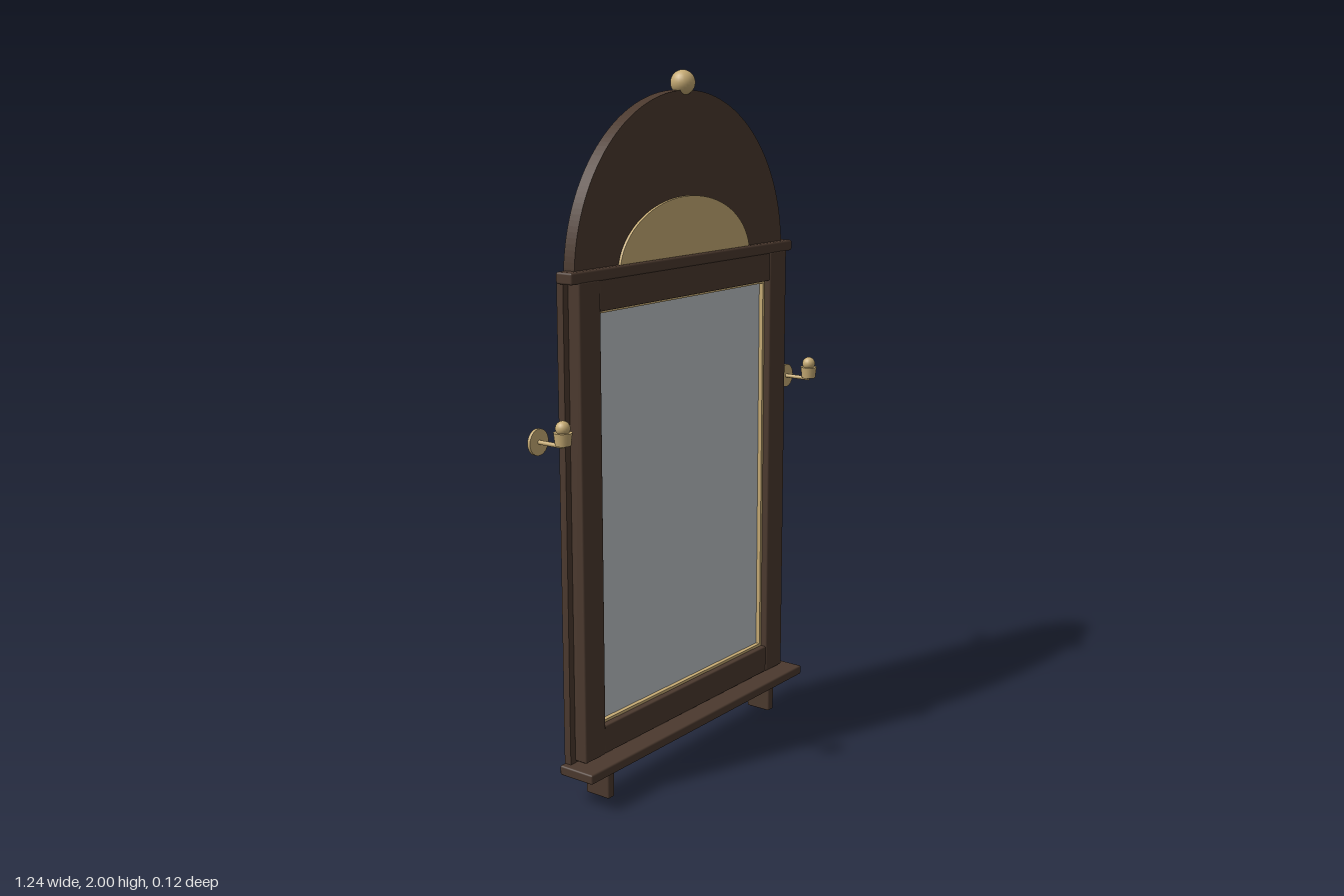
import * as THREE from 'three';
import { RoundedBoxGeometry } from 'three/addons/geometries/RoundedBoxGeometry.js';

const material = (name, color) => {
  const m = new THREE.MeshStandardMaterial({ color });
  m.name = name;
  return m;
};

export function createModel() {
  const wood = material('dark wood', 0x4b392e);
  const brass = material('brass', 0xc6ab74);
  const glass = material('mirror glass', 0xbdc3c6);
  const root = new THREE.Group();
  root.name = 'wallMirror';

  const add = (name, geometry, mat, x = 0, y = 0, z = 0, parent = root) => {
    const mesh = new THREE.Mesh(geometry, mat);
    mesh.name = name;
    mesh.position.set(x, y, z);
    parent.add(mesh);
    return mesh;
  };

  // Box given by its limits on each axis, optionally with softened edges
  const slab = (name, mat, [x0, x1], [y0, y1], [z0, z1], radius = 0) => {
    const size = [x1 - x0, y1 - y0, z1 - z0];
    const geometry = radius
      ? new RoundedBoxGeometry(...size, 2, radius)
      : new THREE.BoxGeometry(...size);
    return add(name, geometry, mat, (x0 + x1) / 2, (y0 + y1) / 2, (z0 + z1) / 2);
  };

  // Upper half of an ellipse, extruded towards +z
  const halfDisc = (rx, ry, depth) => {
    const shape = new THREE.Shape();
    shape.absellipse(0, 0, rx, ry, 0, Math.PI, false);
    shape.closePath();
    return new THREE.ExtrudeGeometry(shape, { depth, bevelEnabled: false, curveSegments: 48 });
  };

  // Back board, shelf and cornice
  slab('backBoard', wood, [-0.502, 0.502], [0.115, 1.482], [-0.057, -0.035]);
  slab('shelf', wood, [-0.522, 0.522], [0.092, 0.12], [-0.058, 0.058], 0.005);
  slab('cornice', wood, [-0.515, 0.515], [1.458, 1.49], [-0.049, 0.006], 0.006);

  // Frame rails
  slab('topRail', wood, [-0.4, 0.4], [1.376, 1.462], [-0.036, 0.003], 0.004);
  slab('bottomRail', wood, [-0.4, 0.4], [0.126, 0.209], [-0.036, 0.003], 0.004);

  // Stiles and feet, mirrored
  for (const s of [-1, 1]) {
    const side = s > 0 ? 'left' : 'right';
    const span = (a, b) => (s > 0 ? [a, b] : [-b, -a]);
    slab(side + 'Stile', wood, span(0.398, 0.484), [0.126, 1.462], [-0.036, 0.006], 0.005);
    slab(side + 'Foot', wood, span(0.385, 0.413), [0, 0.096], [-0.057, 0.025], 0.005);
  }

  // Glass with a narrow brass border
  slab('mirrorGlass', glass, [-0.39, 0.39], [0.216, 1.369], [-0.035, -0.028]);
  const border = (w, y0, y1) => [[-w, y0], [w, y0], [w, y1], [-w, y1]].map(p => new THREE.Vector2(...p));
  const trim = new THREE.Shape(border(0.399, 0.207, 1.378));
  trim.holes.push(new THREE.Path(border(0.389, 0.217, 1.368)));
  add('brassTrim', new THREE.ExtrudeGeometry(trim, { depth: 0.02, bevelEnabled: false }), brass, 0, 0, -0.035);

  // Arched crest, fan inlay and finial
  add('archedCrest', halfDisc(0.482, 0.48, 0.037), wood, 0, 1.465, -0.05);
  add('fanInlay', halfDisc(0.303, 0.19, 0.008), brass, 0, 1.465, -0.013);
  add('finial', new THREE.SphereGeometry(0.035, 24, 16), brass, 0, 1.965, -0.024);

  // Candle brackets beside the frame
  for (const s of [-1, 1]) {
    const bracket = new THREE.Group();
    bracket.name = s > 0 ? 'leftBracket' : 'rightBracket';
    bracket.position.set(s * 0.584, 1.05, 0);
    root.add(bracket);
    const plate = add('wallPlate', new THREE.CylinderGeometry(0.036, 0.036, 0.009, 24), brass, 0, 0, -0.058, bracket);
    const arm = add('arm', new THREE.CylinderGeometry(0.006, 0.006, 0.088, 12), brass, 0, 0, -0.014, bracket);
    plate.rotation.x = arm.rotation.x = Math.PI / 2;
    add('cup', new THREE.CylinderGeometry(0.025, 0.021, 0.034, 20), brass, 0, 0.02, 0.029, bracket);
    add('knob', new THREE.SphereGeometry(0.02, 20, 14), brass, 0, 0.048, 0.029, bracket);
  }

  return root;
}
